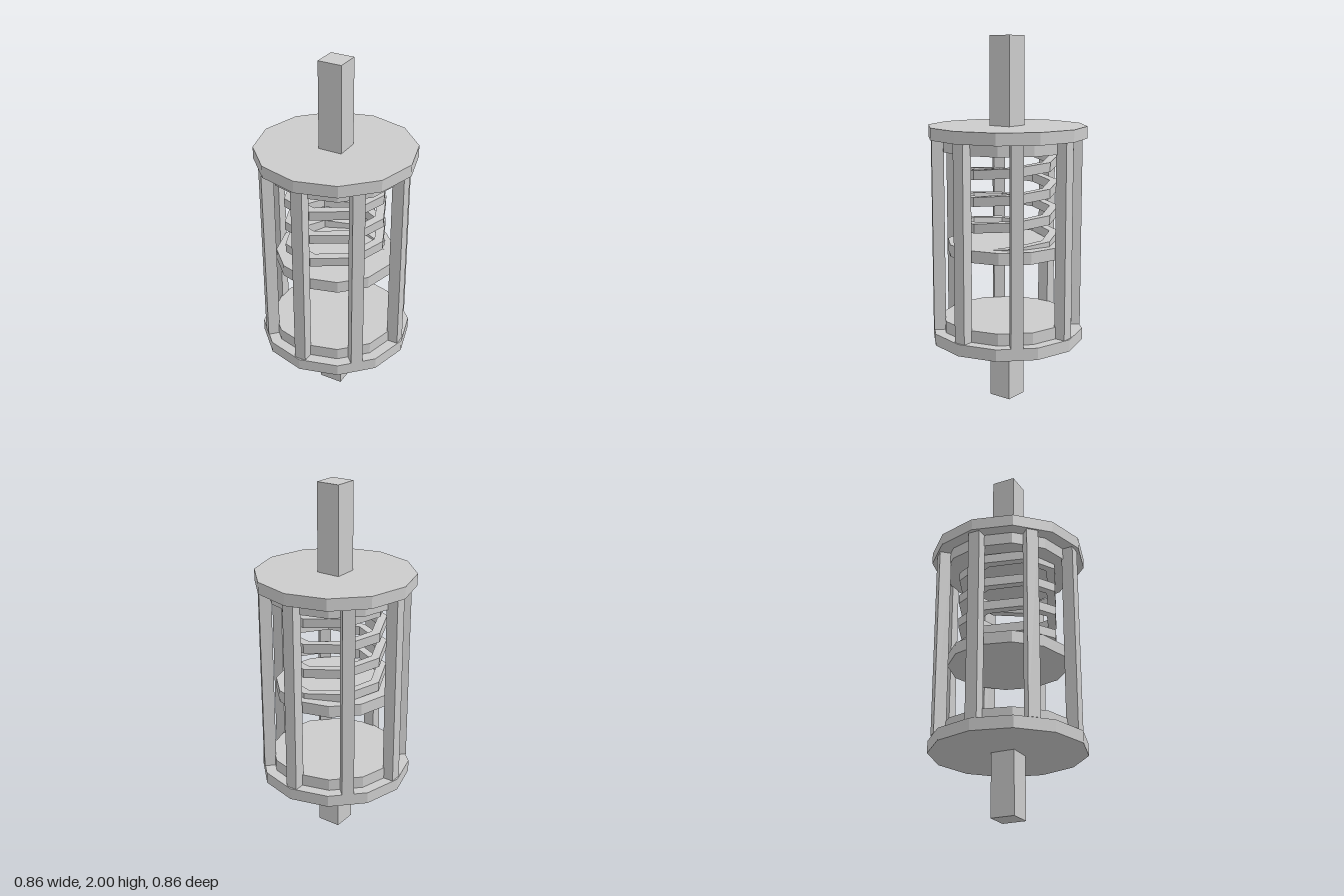
import * as THREE from 'three';

export function createModel() {
  const group = new THREE.Group();
  const material = new THREE.MeshStandardMaterial({ color: 0xcccccc, flatShading: true });

  const add = (name, geometry, x = 0, y = 0, z = 0, turn = 0) => {
    const mesh = new THREE.Mesh(geometry, material);
    mesh.name = name;
    mesh.position.set(x, y, z);
    mesh.rotation.y = turn;
    group.add(mesh);
  };
  const disc = (name, radius, bottom, top) =>
    add(name, new THREE.CylinderGeometry(radius, radius, top - bottom, 12), 0, (bottom + top) / 2);
  const rod = (name, bottom, top) =>
    add(name, new THREE.BoxGeometry(0.133, top - bottom, 0.133), 0, (bottom + top) / 2);

  // End plates with their inner collars, and the piston
  disc('bottomPlate', 0.42, 0.34, 0.405);
  disc('bottomCollar', 0.36, 0.405, 0.47);
  disc('piston', 0.33, 0.83, 0.895);
  disc('topCollar', 0.36, 1.395, 1.46);
  disc('topPlate', 0.432, 1.46, 1.525);

  // Square rods at both ends
  rod('bottomRod', 0, 0.34);
  rod('topRod', 1.525, 2);

  // Cage of eight square bars
  for (let i = 0; i < 8; i++) {
    const a = (i * Math.PI) / 4;
    add('cageBar', new THREE.BoxGeometry(0.065, 1.055, 0.065),
      0.376 * Math.sin(a), 0.9325, 0.376 * Math.cos(a), a);
  }

  // Spring: a long bar wound into four turns of eight straight segments
  const turns = 4, radius = 0.26, startY = 0.8625, endY = 1.4275;
  const spring = new THREE.BoxGeometry(1, 0.05, 0.05, turns * 8, 1, 1);
  const p = spring.attributes.position;
  for (let i = 0; i < p.count; i++) {
    const t = p.getX(i) + 0.5;
    const a = t * turns * Math.PI * 2;
    const r = radius + p.getZ(i);
    p.setXYZ(i, r * Math.cos(a), startY + t * (endY - startY) + p.getY(i), -r * Math.sin(a));
  }
  spring.computeVertexNormals();
  add('spring', spring);

  return group;
}
